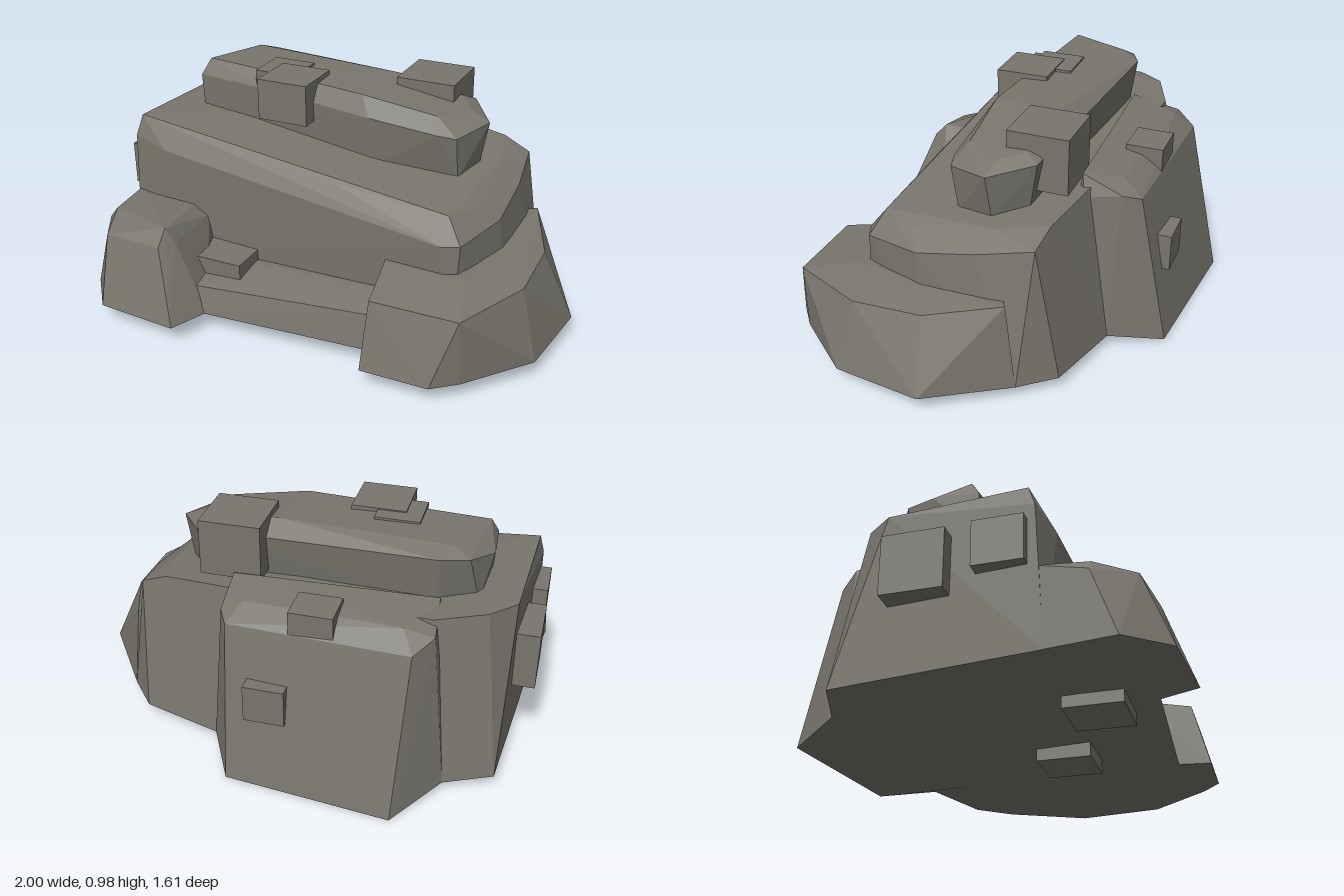
import * as THREE from 'three';
import { ConvexGeometry } from 'three/addons/geometries/ConvexGeometry.js';

export function createModel() {
  const model = new THREE.Group();
  model.name = 'rockFormation';
  const stone = new THREE.MeshStandardMaterial({ color: 0x78756d });
  stone.name = 'stone';

  // A faceted boulder wrapped round its corner points [x, y, z]
  function rock(name, corners) {
    const geometry = new ConvexGeometry(corners.map((c) => new THREE.Vector3(...c)));
    const mesh = new THREE.Mesh(geometry, stone);
    mesh.name = name;
    model.add(mesh);
  }

  // A square block given by its lowest and highest corners
  function block(name, min, max) {
    const size = max.map((v, i) => v - min[i]);
    const mesh = new THREE.Mesh(new THREE.BoxGeometry(...size), stone);
    mesh.position.set(...min.map((v, i) => v + size[i] / 2));
    mesh.name = name;
    model.add(mesh);
  }

  // Main sloping mass
  rock('mainRock', [
    [-0.96, 0.08, 0.33], [-0.89, 0.06, -0.51], [-0.69, 0.04, -0.58], [0.3, 0.05, -0.53],
    [0.65, 0.06, -0.44], [0.77, 0.06, -0.3], [0.6, 0.08, 0.42], [0.74, 0.08, 0.1],
    [-0.95, 0.68, 0.3], [-0.78, 0.65, 0.34], [0.55, 0.52, 0.43], [0.62, 0.52, 0.4],
    [0.7, 0.54, 0.15], [0.7, 0.59, -0.1], [0.67, 0.64, -0.34],
    [-0.93, 0.77, 0.27], [-0.6, 0.73, 0.29], [0.05, 0.655, 0.34], [0.55, 0.62, 0.35],
    [0.62, 0.6, 0.2], [0.6, 0.66, -0.15], [0.55, 0.69, -0.36],
    [-0.9, 0.76, -0.3], [-0.8, 0.77, -0.42], [-0.6, 0.76, -0.5], [0.25, 0.72, -0.42],
  ]);

  // Tall rock leaning against the back
  rock('backRock', [
    [-0.52, 0.0, -0.81], [0.18, 0.01, -0.75], [0.3, 0.05, -0.53], [-0.69, 0.04, -0.58],
    [-0.6, 0.05, -0.66], [0.3, 0.06, -0.3], [-0.7, 0.06, -0.3],
    [-0.55, 0.68, -0.65], [0.2, 0.68, -0.62], [0.24, 0.7, -0.55],
    [-0.62, 0.72, -0.56], [-0.5, 0.75, -0.57], [0.15, 0.74, -0.53],
    [-0.6, 0.77, -0.35], [0.24, 0.77, -0.38], [0.27, 0.68, -0.4],
  ]);

  // Low shelf wrapping the +x side
  rock('sideShelf', [
    [0.34, 0.08, 0.74], [0.63, 0.08, 0.74], [0.73, 0.08, 0.66], [0.95, 0.08, 0.4],
    [1.0, 0.08, 0.02], [0.77, 0.06, -0.3], [0.32, 0.08, 0.6], [0.32, 0.08, 0.0],
    [0.35, 0.36, 0.67], [0.72, 0.36, 0.67], [0.31, 0.4, 0.42], [0.65, 0.4, 0.45],
    [0.87, 0.37, 0.35], [0.87, 0.38, 0.05], [0.75, 0.42, -0.25], [0.32, 0.4, 0.0],
  ]);

  // Boulder at the front, -x corner
  rock('cornerBoulder', [
    [-1.0, 0.08, 0.6], [-0.86, 0.08, 0.77], [-0.49, 0.08, 0.8], [-0.42, 0.08, 0.63],
    [-0.52, 0.08, 0.32], [-0.95, 0.08, 0.25],
    [-0.98, 0.36, 0.5], [-0.88, 0.37, 0.66], [-0.6, 0.38, 0.69],
    [-0.94, 0.41, 0.5], [-0.6, 0.445, 0.63], [-0.56, 0.38, 0.62],
    [-0.64, 0.42, 0.33], [-0.57, 0.38, 0.34], [-0.95, 0.42, 0.3],
  ]);

  // Step between the front boulders
  rock('frontStep', [
    [-0.52, 0.08, 0.65], [0.35, 0.08, 0.6], [0.35, 0.08, 0.2], [-0.52, 0.08, 0.2],
    [-0.52, 0.19, 0.62], [0.35, 0.23, 0.57], [-0.52, 0.22, 0.4], [0.35, 0.265, 0.42],
    [0.35, 0.265, 0.3], [-0.52, 0.22, 0.3],
  ]);

  // Long slab on top
  rock('topSlab', [
    [-0.76, 0.72, 0.02], [-0.74, 0.72, -0.25], [-0.58, 0.72, -0.33], [0.42, 0.65, -0.22],
    [0.52, 0.65, -0.1], [0.48, 0.64, 0.06], [0.1, 0.64, 0.1],
    [-0.77, 0.9, 0.02], [-0.78, 0.9, -0.17], [-0.7, 0.93, -0.31], [-0.59, 0.94, -0.36],
    [0.44, 0.88, -0.26], [0.56, 0.85, -0.09], [0.48, 0.83, 0.09], [0.4, 0.84, 0.11],
    [0.1, 0.87, 0.12], [-0.45, 0.9, 0.06],
    [-0.74, 0.97, -0.02], [-0.63, 0.97, -0.28], [0.1, 0.96, -0.22], [0.4, 0.91, -0.2],
    [0.48, 0.89, -0.1], [0.38, 0.9, 0.05], [0.05, 0.95, 0.07], [-0.45, 0.965, 0.01],
  ]);

  // Square blocks jutting out of the rock
  block('topFrontBlock', [-0.4, 0.8, -0.07], [-0.17, 0.98, 0.16]);
  block('topMiddleBlock', [-0.47, 0.82, -0.14], [-0.28, 0.975, 0.05]);
  block('topRearBlock', [0.13, 0.74, -0.37], [0.39, 0.98, -0.11]);
  block('backUpperBlock', [-0.24, 0.61, -0.63], [-0.06, 0.78, -0.47]);
  block('backFaceBlock', [-0.07, 0.31, -0.73], [0.1, 0.47, -0.56]);
  block('sideRearBlock', [-1.0, 0.36, -0.28], [-0.75, 0.61, -0.03]);
  block('sideFrontBlock', [-0.995, 0.43, 0.07], [-0.8, 0.62, 0.27]);
  block('stepBlock', [-0.56, 0.03, 0.29], [-0.31, 0.28, 0.53]);
  block('undersideBlock', [-0.07, 0.015, 0.06], [0.16, 0.2, 0.29]);

  return model;
}
